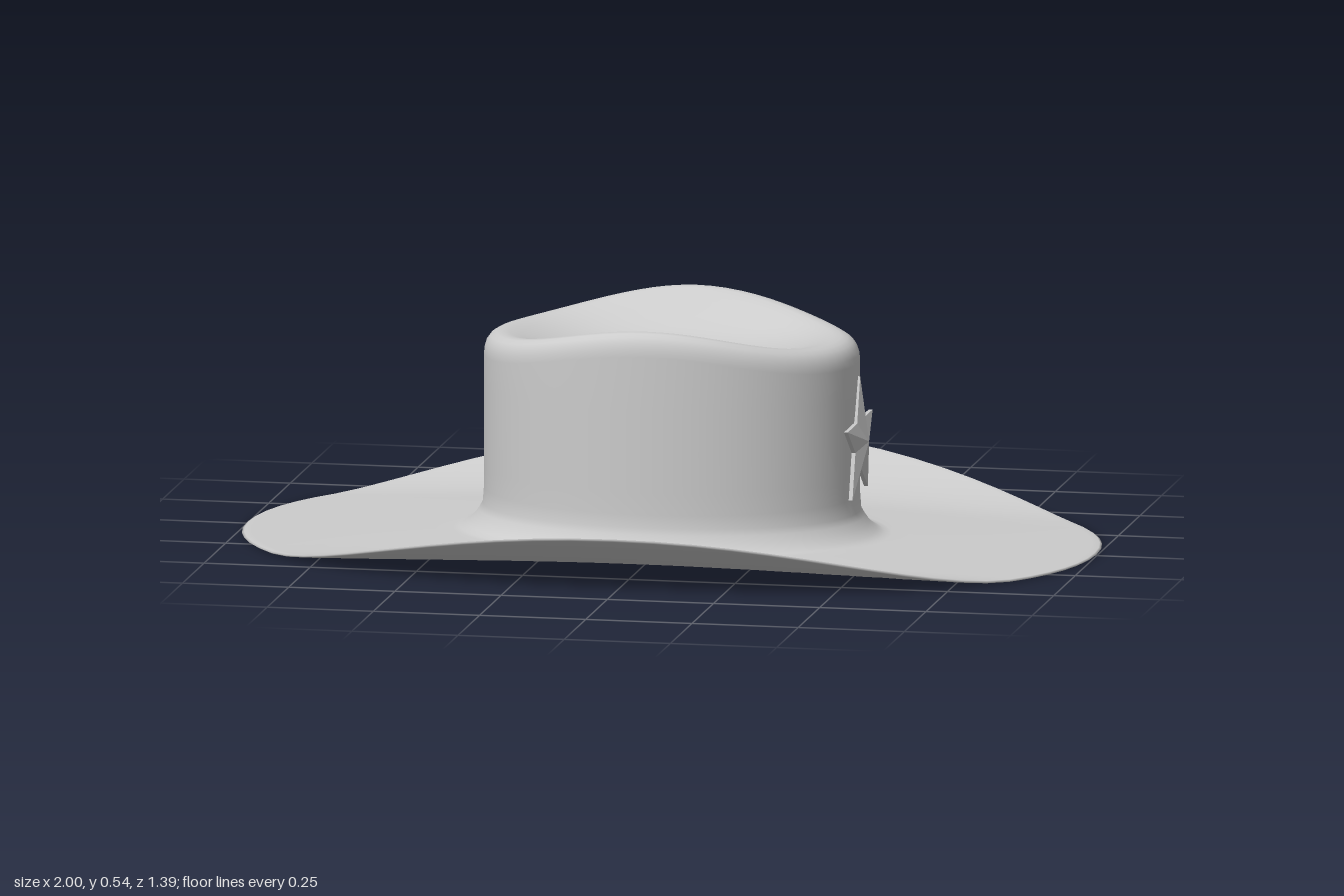
import * as THREE from 'three';

const SEGMENTS = 72;
const material = new THREE.MeshStandardMaterial({ color: 0xcccccc, side: THREE.DoubleSide });
const power = (v, p) => Math.sign(v) * Math.abs(v) ** p;

// Height of the crown's rim: peaks at front and back, low at the sides
const rimHeight = (a) => 0.487 + 0.058 * Math.abs(Math.sin(a)) ** 4;

// Point on the crown: s is the fraction of the crown's oval
function crownPoint(a, s, y) {
  return [0.438 * s * Math.cos(a), y, 0.326 * s * Math.sin(a)];
}

// Underside of the brim: nearly flat, curling up at front and back
function brimHeight(x, z) {
  const curl = Math.max(0, (Math.abs(z) - 0.35) / 0.35);
  return 0.002 + 0.016 * Math.cos(Math.min(1, Math.abs(x)) * Math.PI / 2) ** 2 + 0.112 * curl ** 1.9;
}

// Point on the brim: u runs from the crown (0) to the outer edge (1)
function brimPoint(a, u, lift) {
  const c = Math.cos(a), s = Math.sin(a);
  const x = THREE.MathUtils.lerp(0.438 * c, power(c, 0.95), u);
  const z = THREE.MathUtils.lerp(0.326 * s, 0.697 * power(s, 0.95), u);
  return [x, brimHeight(x, z) + lift, z];
}

// Hat as one closed skin of rings: dent, rim, wall, brim top, brim underside, lining
function hatGeometry() {
  const rings = [];
  const floor = 0.44;
  const dent = [[0, 0], [0.15, 0.01], [0.3, 0.05], [0.42, 0.13], [0.53, 0.27], [0.63, 0.45],
    [0.72, 0.66], [0.8, 0.86], [0.86, 0.97], [0.9, 1]];
  const rim = [[0.935, 0.003], [0.965, 0.011], [0.985, 0.023], [0.996, 0.038], [1, 0.055]];
  for (const [s, g] of dent) rings.push((a) => crownPoint(a, s, floor + (rimHeight(a) - floor) * g));
  for (const [s, drop] of rim) rings.push((a) => crownPoint(a, s, rimHeight(a) - drop));
  for (const y of [0.36, 0.26, 0.17, 0.12]) rings.push((a) => crownPoint(a, 1, y));

  const thickness = (u) => 0.018 - 0.012 * u;
  const fillet = (u) => 0.06 * Math.max(0, 1 - u / 0.13) ** 2.5;
  const steps = [0.005, 0.02, 0.04, 0.07, 0.1, 0.13, 0.2, 0.3, 0.4, 0.5, 0.6, 0.7, 0.8, 0.9, 0.96, 0.99];
  for (const u of steps) rings.push((a) => brimPoint(a, u, thickness(u) + fillet(u)));
  rings.push((a) => brimPoint(a, 1, 0.003));
  for (const u of [...steps].reverse()) rings.push((a) => brimPoint(a, u, fillet(u) * 0.8));

  for (const y of [0.1, 0.2, 0.32]) rings.push((a) => crownPoint(a, 0.965, y));
  for (const [s, drop] of [...rim].reverse()) {
    rings.push((a) => crownPoint(a, s * 0.965, rimHeight(a) - drop - 0.016));
  }
  for (const [s, g] of [...dent].reverse()) {
    rings.push((a) => crownPoint(a, s * 0.965, floor - 0.016 + (rimHeight(a) - floor) * g));
  }

  const positions = [], index = [];
  rings.forEach((ring, i) => {
    for (let j = 0; j < SEGMENTS; j++) {
      positions.push(...ring((j / SEGMENTS) * Math.PI * 2));
      if (i === rings.length - 1) continue;
      const a = i * SEGMENTS + j, c = i * SEGMENTS + ((j + 1) % SEGMENTS);
      const b = a + SEGMENTS, d = c + SEGMENTS;
      index.push(a, c, b, c, d, b);
    }
  });
  const geometry = new THREE.BufferGeometry();
  geometry.setAttribute('position', new THREE.Float32BufferAttribute(positions, 3));
  geometry.setIndex(index);
  geometry.computeVertexNormals();
  return geometry;
}

// Five-pointed badge: ten-sided lathe with every second corner pulled inwards
function starGeometry() {
  const profile = [[0, 0], [0.152, 0], [0.152, 0.009], [0, 0.03]].map(([r, y]) => new THREE.Vector2(r, y));
  const lathe = new THREE.LatheGeometry(profile, 10, -Math.PI / 2);
  const p = lathe.attributes.position;
  for (let i = 0; i < p.count; i++) {
    const k = Math.floor(i / profile.length) % 2 ? 0.382 : 1;
    p.setXYZ(i, p.getX(i) * k, p.getY(i), p.getZ(i) * k);
  }
  lathe.rotateZ(-Math.PI / 2);
  const flat = lathe.toNonIndexed();
  flat.computeVertexNormals();
  return flat;
}

export function createModel() {
  const hat = new THREE.Group();
  hat.name = 'hat';

  const body = new THREE.Mesh(hatGeometry(), material);
  body.name = 'crownAndBrim';

  const star = new THREE.Mesh(starGeometry(), material);
  star.name = 'starBadge';
  star.position.set(0.434, 0.25, 0);

  hat.add(body, star);
  return hat;
}
